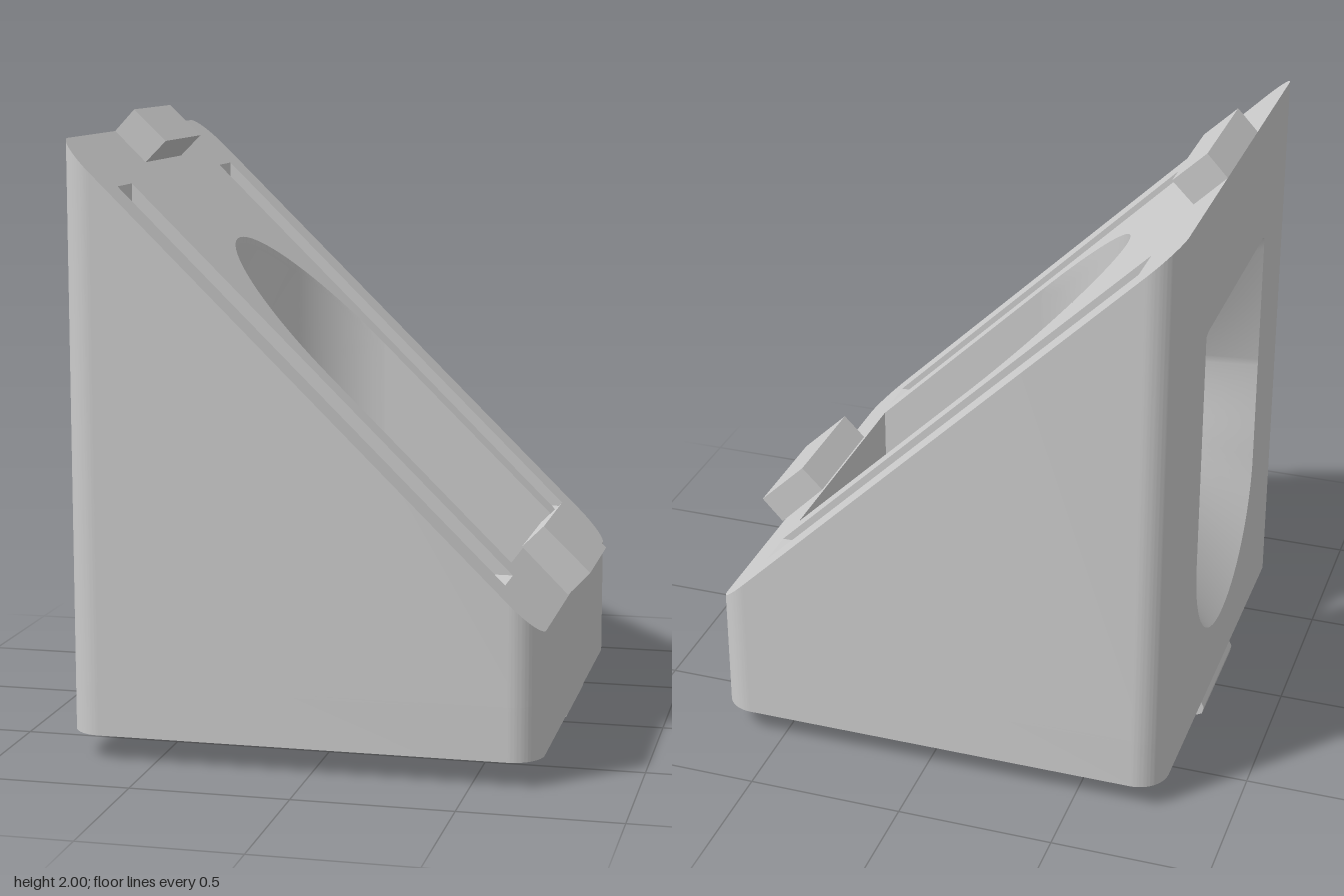
import * as THREE from 'three';
import { toCreasedNormals } from 'three/addons/utils/BufferGeometryUtils.js';

const grey = new THREE.MeshStandardMaterial({ color: 0xcccccc, side: THREE.DoubleSide });
const X0 = -0.78, X1 = 0.71, Z = 0.75, BASE = 0.08, FLOOR = 0.25;
const U = { x: -0.02, r: 0.4, end: 0.56 };                 // access pocket
const SLOT = { x0: -0.63, x1: 0.58, z0: 0.49, z1: 0.63 };  // side slots
const slope = x => 1.93 - 0.98 * (x - X0);
const wallX = z => U.x - Math.sqrt(Math.max(0, U.r * U.r - z * z));

// Rounded plan outline with side slots, optionally open at the back for the access pocket
function outline(open) {
  const s = new THREE.Shape(), c = 0.1, q = Math.PI / 2;
  s.absarc(X1 - c, -Z + c, c, -q, 0, false);
  s.absarc(X1 - c, Z - c, c, 0, q, false);
  s.absarc(X0 + c, Z - c, c, q, 2 * q, false);
  if (open) {
    s.lineTo(X0, U.r); s.lineTo(U.end, U.r);
    s.lineTo(U.end, -U.r); s.lineTo(X0, -U.r);
  }
  s.absarc(X0 + c, -Z + c, c, 2 * q, 3 * q, false);
  for (const side of [-1, 1]) {
    const a = side * SLOT.z0, b = side * SLOT.z1;
    s.holes.push(new THREE.Path([[SLOT.x0, a], [SLOT.x1, a], [SLOT.x1, b], [SLOT.x0, b]]
      .map(p => new THREE.Vector2(...p))));
  }
  return s;
}

// Hole with a straight back end and a round front end
function roundEnded(back, cx, r) {
  const p = new THREE.Path();
  p.absarc(cx, 0, r, -Math.PI / 2, Math.PI / 2, false);
  p.lineTo(back, r);
  p.lineTo(back, -r);
  return p;
}

// Upright extrusion of a plan between two heights that depend on x
function layer(shape, lo, hi) {
  const g = new THREE.ExtrudeGeometry(shape, { depth: 1, bevelEnabled: false, curveSegments: 20 });
  g.rotateX(-Math.PI / 2);
  const p = g.attributes.position;
  for (let i = 0; i < p.count; i++) {
    const x = p.getX(i);
    p.setY(i, lo(x) + p.getY(i) * (hi(x) - lo(x)));
  }
  return toCreasedNormals(g, 0.5);
}

// Surface through closed rings of points
function loft(rings) {
  const n = rings[0].length, index = [];
  for (let j = 0; j < rings.length - 1; j++)
    for (let i = 0; i < n; i++) {
      const k = (i + 1) % n, a = j * n, b = a + n;
      index.push(a + i, b + i, a + k, a + k, b + i, b + k);
    }
  const g = new THREE.BufferGeometry();
  g.setAttribute('position', new THREE.Float32BufferAttribute(rings.flat(2), 3));
  g.setIndex(index);
  return toCreasedNormals(g, 0.9);
}

// Farthest multiple of a ray that is still inside a region
function reach(inside, u, v) {
  let a = 0, b = 20;
  for (let i = 0; i < 30; i++) {
    const m = (a + b) / 2;
    if (inside(m * u, m * v)) a = m; else b = m;
  }
  return a;
}

// Bar across the middle with a given side profile
function tab(points) {
  const g = new THREE.ExtrudeGeometry(new THREE.Shape(points.map(p => new THREE.Vector2(...p))),
    { depth: 0.39, bevelEnabled: false });
  return toCreasedNormals(g.translate(0, 0, -0.195), 0.5);
}

export function createModel() {
  const group = new THREE.Group();
  const add = (name, geometry) => {
    const m = new THREE.Mesh(geometry, grey);
    m.name = name;
    group.add(m);
  };

  // Base plate: bolt hole in the floor, flaring to a wider opening underneath
  const wide = roundEnded(-0.6, -0.05, 0.28), narrow = roundEnded(-0.27, -0.03, 0.21);
  const plate = outline(false), floor = outline(false);
  plate.holes.push(wide);
  floor.holes.push(narrow);
  add('basePlate', layer(plate, () => BASE, () => FLOOR - 0.01));
  add('pocketFloor', layer(floor, () => FLOOR - 0.01, () => FLOOR));
  add('baseRecess', loft([[wide, BASE], [narrow, FLOOR - 0.01]]
    .map(([path, y]) => path.getPoints(20).map(p => [p.x, y, -p.y]))));

  // Side walls, ribs and front wall
  add('wallsAndRibs', layer(outline(true), () => FLOOR, slope));

  // Web between the upper slot, open to the slope, and the lower slot, open to the base
  const top = slope(SLOT.x1), thick = 0.15;
  for (const side of [-1, 1])
    add(side > 0 ? 'leftSlotWeb' : 'rightSlotWeb',
      new THREE.BoxGeometry(SLOT.x1 - SLOT.x0, thick, SLOT.z1 - SLOT.z0)
        .translate((SLOT.x0 + SLOT.x1) / 2, top - thick / 2, side * (SLOT.z0 + SLOT.z1) / 2));

  // Top of the back block, with the curved edge of the pocket
  const cap = new THREE.Shape();
  cap.absarc(U.x, 0, U.r, -Math.PI / 2, Math.PI / 2, true);
  cap.lineTo(X0, U.r);
  cap.lineTo(X0, -U.r);
  add('backBlockTop', layer(cap, x => slope(x) - 0.02, slope));

  // Curved pocket wall, bolt opening and flared recess in the back
  const N = 120, STEPS = 8, CY = 1.05;
  const rings = Array.from({ length: STEPS + 1 }, () => []), mouth = [];
  const onWall = (t, v) => Math.abs(t) <= Math.PI / 2 && CY + v >= FLOOR &&
    CY + v <= slope(wallX(U.r * Math.sin(t)));
  const inMouth = (z, v) => {
    const y = CY + v;
    return Math.abs(z) <= 0.385 && y <= 1.5 && (y >= 0.68 || Math.hypot(z, y - 0.68) <= 0.385);
  };
  for (let i = 0; i < N; i++) {
    const a = i / N * Math.PI * 2, v = 0.31 * Math.sin(a), c = Math.cos(a);
    const z = Math.sign(c) * Math.min(0.29 * Math.abs(c), 0.29 - 0.45 * v); // straight upper flanks
    const t = Math.asin(z / U.r), far = reach(onWall, t, v);
    rings.forEach((ring, j) => {
      const k = 1 + (far - 1) * j / STEPS, zz = U.r * Math.sin(t * k);
      ring.push([wallX(zz), CY + v * k, zz]);
    });
    const m = reach(inMouth, z, v);
    mouth.push([X0, CY + v * m, z * m]);
  }
  add('pocketWall', loft(rings));
  add('backRecess', loft([rings[0], mouth]));

  // Flat back face around the recess
  const back = new THREE.Shape([[-U.r, BASE], [U.r, BASE], [U.r, 1.93], [-U.r, 1.93]]
    .map(p => new THREE.Vector2(...p)));
  back.holes.push(new THREE.Path(mouth.map(p => new THREE.Vector2(p[2], p[1]))));
  add('backFace', new THREE.ShapeGeometry(back).rotateY(-Math.PI / 2).translate(X0, 0, 0));

  // Cover clips on the slope
  add('upperClip', tab([[-0.78, 1.93], [-0.68, 1.83], [-0.61, 1.9], [-0.715, 2]]));
  add('lowerClip', tab([[0.56, 0.625], [0.71, 0.475], [0.78, 0.55], [0.63, 0.695]]));

  // Locating lugs under the base
  for (const [name, x] of [['backLug', -0.78], ['frontLug', 0.585]])
    add(name, tab([[0, 0.035], [0.005, 0.01], [0.025, 0], [0.045, 0.01], [0.125, 0.075],
      [0.125, 0.1], [0.06, 0.1], [0.06, 0.085], [0.01, 0.055]].map(p => [p[0] + x, p[1]])));

  return group;
}
